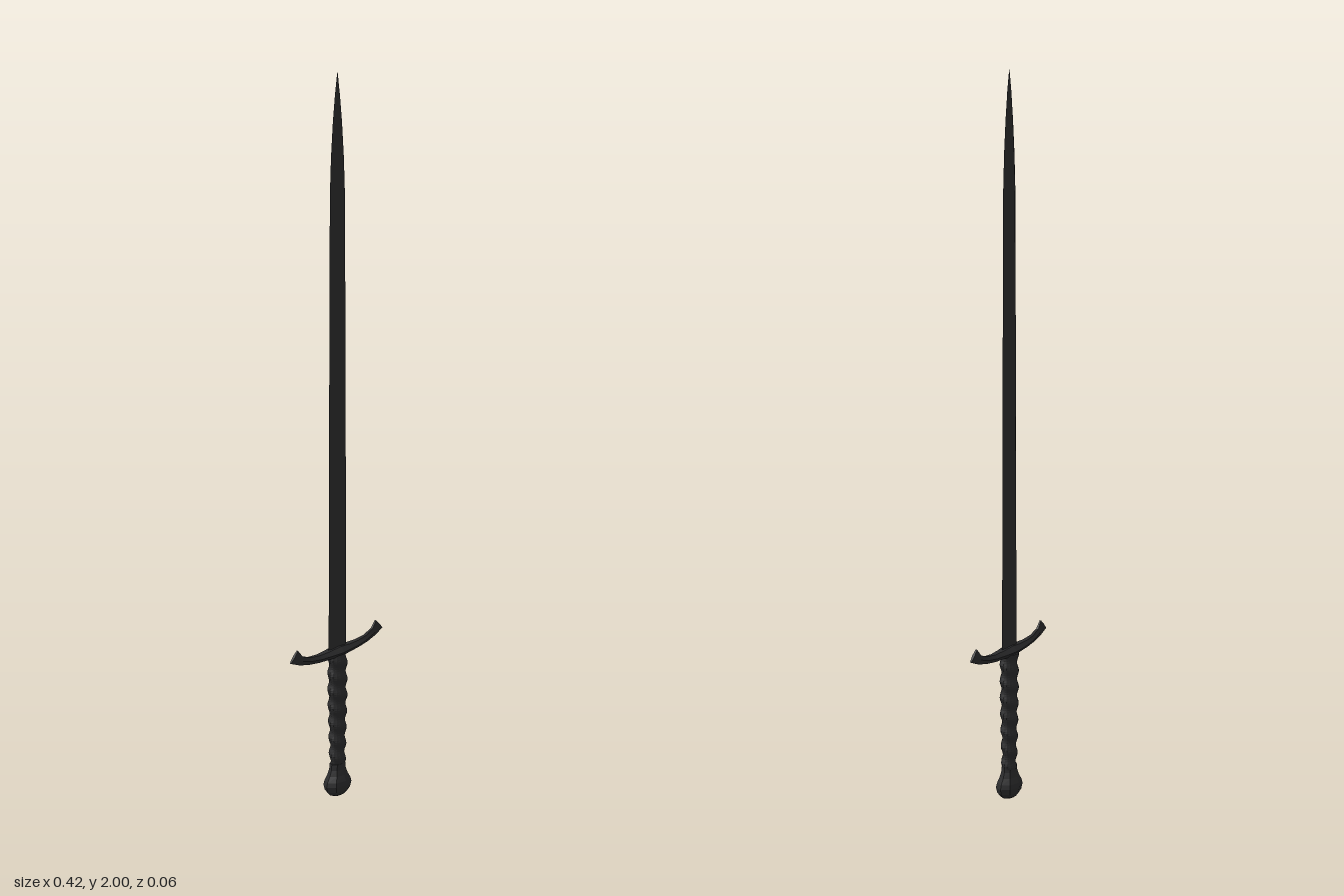
import * as THREE from 'three';

// Joins rings of points into a closed, faceted skin with both ends capped
function loft(rings) {
  const pos = [];
  const tri = (...pts) => pts.forEach((p) => pos.push(...p));
  const mid = (r) => [0, 1, 2].map((k) => r.reduce((s, p) => s + p[k], 0) / r.length);
  const n = rings[0].length;
  const first = rings[0], last = rings[rings.length - 1];
  for (let i = 0; i < n; i++) {
    const j = (i + 1) % n;
    for (let r = 0; r < rings.length - 1; r++) {
      const lo = rings[r], hi = rings[r + 1];
      tri(lo[i], hi[i], lo[j]);
      tri(lo[j], hi[i], hi[j]);
    }
    tri(mid(first), first[i], first[j]);
    tri(mid(last), last[j], last[i]);
  }
  const geo = new THREE.BufferGeometry();
  geo.setAttribute('position', new THREE.Float32BufferAttribute(pos, 3));
  geo.computeVertexNormals();
  return geo;
}

// Horizontal ring from a function of the angle giving [x, z]
function ring(y, sides, fn) {
  return Array.from({ length: sides }, (_, i) => {
    const [x, z] = fn((i / sides) * Math.PI * 2);
    return [x, y, z];
  });
}

const ellipse = (rx, rz) => (a) => [rx * Math.cos(a), rz * Math.sin(a)];

export function createModel() {
  const group = new THREE.Group();
  const steel = new THREE.MeshStandardMaterial({ color: 0x2b2b2c });
  steel.name = 'dark steel';
  const add = (name, rings) => {
    const mesh = new THREE.Mesh(loft(rings), steel);
    mesh.name = name;
    group.add(mesh);
  };

  // Blade: lens-shaped section, gently tapering, then curving to the point
  const blade = [
    [0.42, 0.04, 0.006], [0.9, 0.038, 0.0055], [1.4, 0.035, 0.005], [1.68, 0.033, 0.005],
    [1.78, 0.028, 0.0045], [1.87, 0.02, 0.004], [1.94, 0.011, 0.003], [1.98, 0.004, 0.0015], [2, 0.0005, 0.0003],
  ];
  add('blade', blade.map(([y, w, t]) => ring(y, 8, ellipse(w, t))));

  // Crossguard: [bottom x, bottom y, top x, top y, half depth], mirrored about the centre
  const half = [
    [0.21, 0.439, 0.179, 0.468, 0.004], [0.175, 0.426, 0.16, 0.447, 0.007],
    [0.135, 0.417, 0.128, 0.436, 0.01], [0.09, 0.412, 0.088, 0.432, 0.014],
    [0.045, 0.41, 0.045, 0.433, 0.019],
  ];
  const centre = [0, 0.408, 0, 0.437, 0.025];
  const mirrored = half.map(([bx, by, tx, ty, d]) => [-bx, by, -tx, ty, d]).reverse();
  add('crossguard', [...half, centre, ...mirrored].map(([bx, by, tx, ty, d]) => {
    const mx = (bx + tx) / 2, my = (by + ty) / 2;
    return [
      [tx, ty, d * 0.5], [mx, my, d], [bx, by, d * 0.5],
      [bx, by, -d * 0.5], [mx, my, -d], [tx, ty, -d * 0.5],
    ];
  }));

  // Grip: oval handle with a raised spiral wrap
  const grip = [];
  const steps = 56;
  for (let i = 0; i <= steps; i++) {
    const t = i / steps;
    const rx = 0.025 + 0.007 * Math.min(1, t * 1.6);
    const rz = 0.018 + 0.003 * Math.min(1, t * 1.6);
    grip.push(ring(0.085 + 0.33 * t, 16, (a) => {
      const bump = 0.0028 * Math.sin(t * 7 * Math.PI * 2 - a);
      return [(rx + bump) * Math.cos(a), (rz + bump) * Math.sin(a)];
    }));
  }
  add('grip', grip);

  // Pommel: faceted bulb flaring out below the grip
  const pommel = [
    [0, 0.018, 0.012], [0.006, 0.034, 0.021], [0.018, 0.045, 0.029], [0.034, 0.05, 0.032],
    [0.046, 0.046, 0.03], [0.062, 0.035, 0.024], [0.078, 0.028, 0.02], [0.095, 0.026, 0.019],
  ];
  add('pommel', pommel.map(([y, rx, rz]) => ring(y, 8, ellipse(rx, rz))));

  return group;
}
